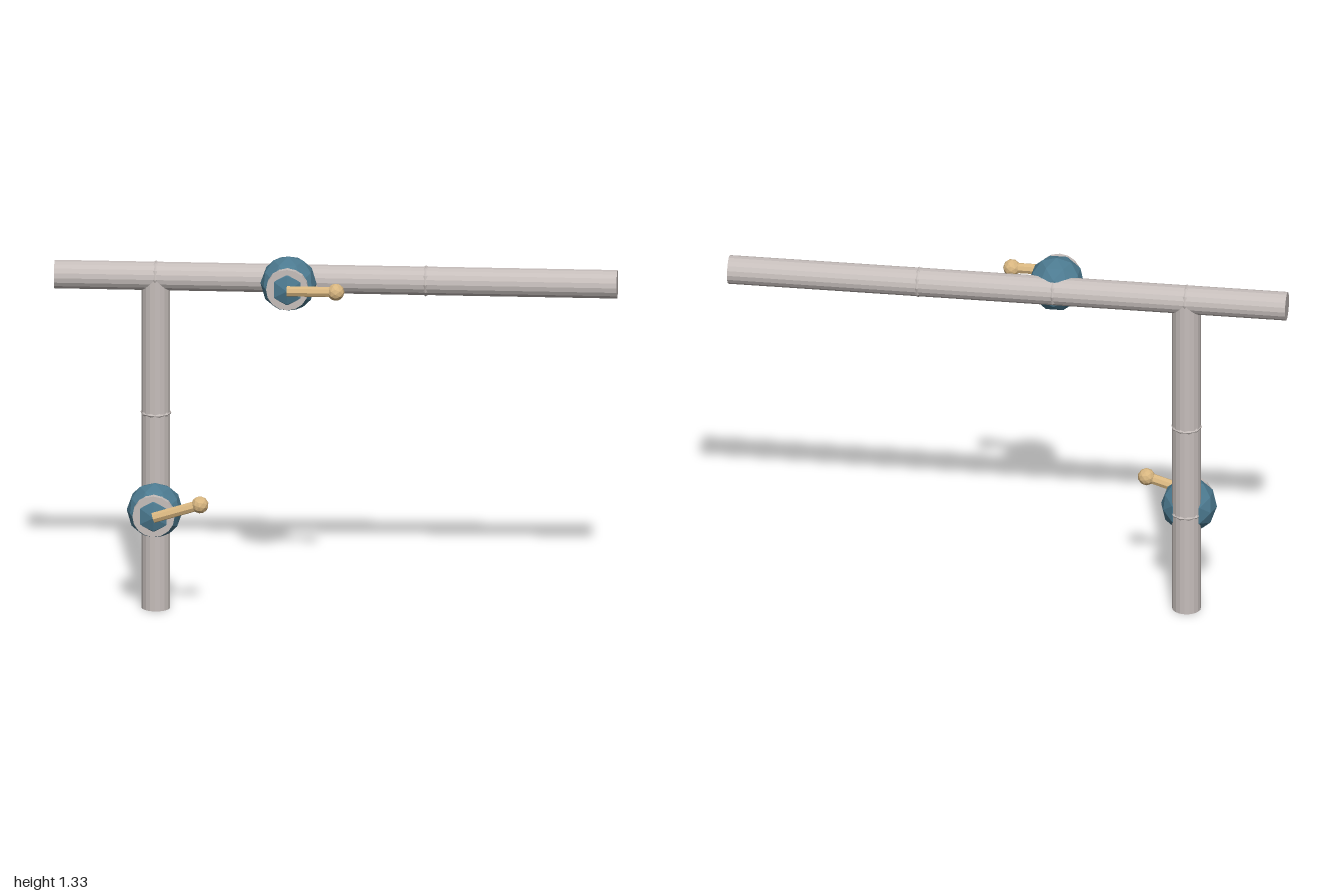
import * as THREE from 'three';

const PIPE_R = 0.051, PIPE_Z = -0.067, RAIL_Y = 1.23, POST_X = -0.64;

export function createModel() {
  const model = new THREE.Group();
  model.name = 'pipesWithValves';

  const flat = (name, color) => {
    const m = new THREE.MeshStandardMaterial({ color, flatShading: true });
    m.name = name;
    return m;
  };
  const steel = flat('pale steel', 0xc6bebb);
  const blue = flat('valve blue', 0x4c7a90);
  const brass = flat('brass', 0xd8b680);

  const add = (parent, name, geometry, material, x, y, z) => {
    const mesh = new THREE.Mesh(geometry, material);
    mesh.name = name;
    mesh.position.set(x, y, z);
    parent.add(mesh);
    return mesh;
  };

  // Pipes: a long rail and the post that meets it
  add(model, 'rail', new THREE.CylinderGeometry(PIPE_R, PIPE_R, 2, 18), steel, 0, RAIL_Y, PIPE_Z)
    .rotation.z = Math.PI / 2;
  add(model, 'post', new THREE.CylinderGeometry(PIPE_R, PIPE_R, RAIL_Y, 18), steel, POST_X, RAIL_Y / 2, PIPE_Z);

  // Joint rings barely proud of the pipes
  const ring = new THREE.TorusGeometry(0.041, 0.014, 6, 10);
  for (const x of [POST_X, -0.165, 0.32]) {
    add(model, 'railRing', ring, steel, x, RAIL_Y, PIPE_Z).rotation.y = Math.PI / 2;
  }
  for (const y of [0.38, 0.725]) {
    add(model, 'postRing', ring, steel, POST_X, y, PIPE_Z).rotation.x = Math.PI / 2;
  }

  // Valve: faceted body, collar and a lever turned about the z axis
  const addValve = (x, y, angle) => {
    const valve = new THREE.Group();
    valve.name = 'valve';
    valve.position.set(x, y, 0);
    add(valve, 'valveBody', new THREE.IcosahedronGeometry(0.1, 1), blue, 0, 0, -0.005);
    add(valve, 'collar', new THREE.CylinderGeometry(0.075, 0.075, 0.032, 16), steel, 0, 0, 0.061)
      .rotation.x = Math.PI / 2;
    const lever = new THREE.Group();
    lever.name = 'lever';
    lever.rotation.z = angle;
    add(lever, 'leverArm', new THREE.CylinderGeometry(0.019, 0.019, 0.174, 8), brass, 0.087, 0, 0.09)
      .rotation.z = Math.PI / 2;
    add(lever, 'leverKnob', new THREE.IcosahedronGeometry(0.031, 1), brass, 0.174, 0, 0.09);
    valve.add(lever);
    model.add(valve);
  };
  addValve(-0.165, RAIL_Y, 0);
  addValve(POST_X, 0.38, 0.3);

  return model;
}
